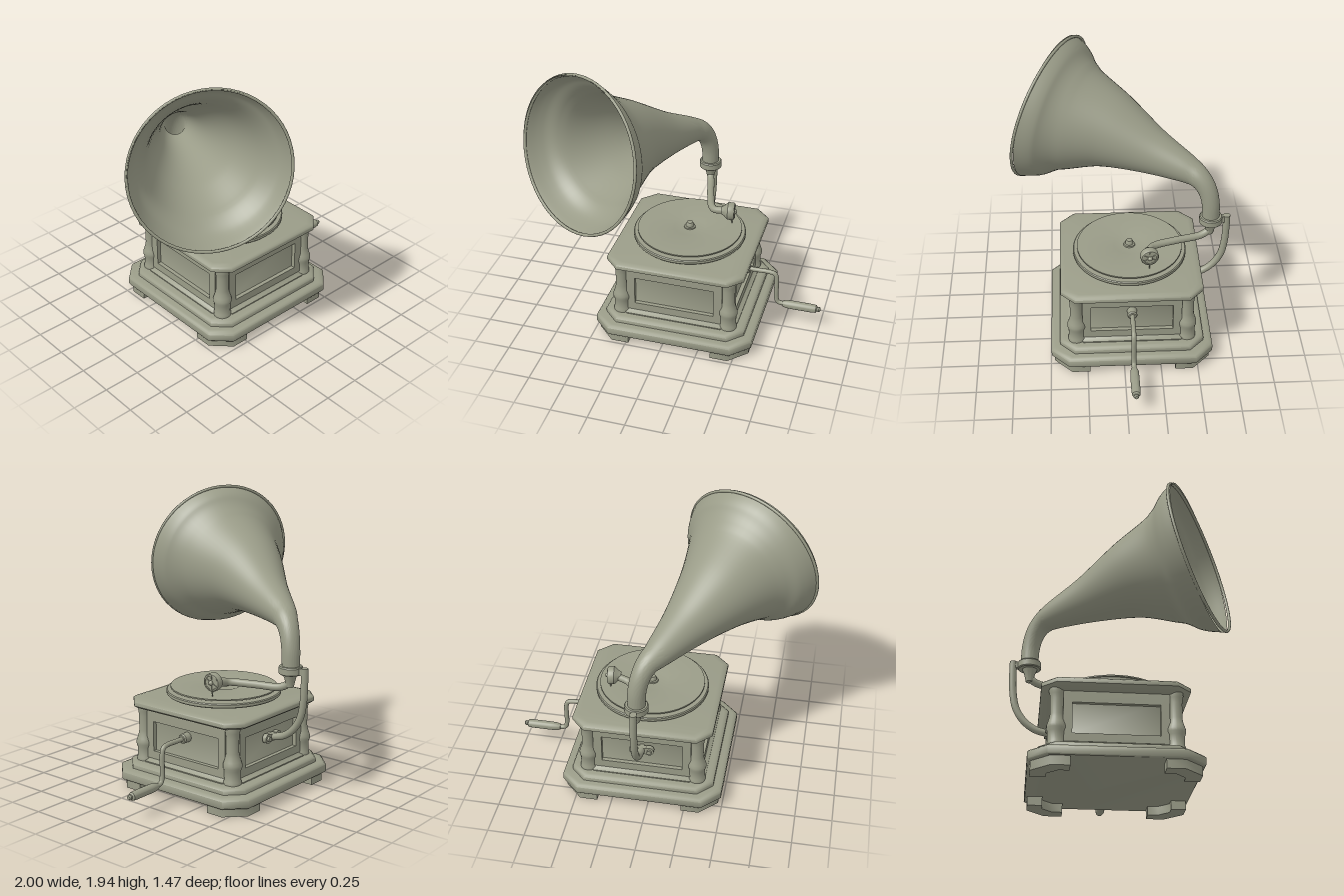
import * as THREE from 'three';
import { toCreasedNormals } from 'three/addons/utils/BufferGeometryUtils.js';

const color = 0x9a9c88;
const mat = new THREE.MeshStandardMaterial({ color });
const thin = new THREE.MeshStandardMaterial({ color, side: THREE.DoubleSide });
const V = (p) => new THREE.Vector3(p[0], p[1], p[2]);

function add(parent, name, geo, pos = [0, 0, 0], material = mat) {
  const mesh = new THREE.Mesh(geo, material);
  mesh.name = name;
  mesh.position.set(...pos);
  parent.add(mesh);
  return mesh;
}

// Skin a list of rings that run counter-clockwise about the travel direction
function loft(rings, crease, caps) {
  const n = rings[0].length, pos = [], idx = [];
  rings.forEach((r) => r.forEach((p) => pos.push(p.x, p.y, p.z)));
  for (let i = 0; i < rings.length - 1; i++) {
    for (let j = 0; j < n; j++) {
      const a = i * n + j, b = i * n + (j + 1) % n;
      idx.push(a, b, b + n, a, b + n, a + n);
    }
  }
  if (caps) {
    const top = (rings.length - 1) * n;
    for (let j = 1; j < n - 1; j++) idx.push(0, j + 1, j, top, top + j, top + j + 1);
  }
  const geo = new THREE.BufferGeometry();
  geo.setAttribute('position', new THREE.Float32BufferAttribute(pos, 3));
  geo.setIndex(idx);
  return toCreasedNormals(geo, crease);
}

// Square slab with cut corners; levels are [y, half width, corner cut]
function slab(levels) {
  return loft(levels.map(([y, h, c]) => {
    const k = h - c;
    return [[h, -k], [k, -h], [-k, -h], [-h, -k], [-h, k], [-k, h], [k, h], [h, k]].map(([x, z]) => new THREE.Vector3(x, y, z));
  }), 0.9, true);
}

const turned = (profile, n = 32) =>
  toCreasedNormals(new THREE.LatheGeometry(profile.map(([r, y]) => new THREE.Vector2(r, y)), n), 0.6);

const pipe = (points, radius, n = 48) =>
  new THREE.TubeGeometry(new THREE.CatmullRomCurve3(points.map(V)), n, radius, 16);

// Curved horn: stations are [x, y, z, radius]
function hornGeometry(stations, steps, sides) {
  const path = new THREE.CatmullRomCurve3(stations.map(V), false, 'catmullrom');
  const radii = new THREE.CatmullRomCurve3(stations.map((s) => new THREE.Vector3(s[3], 0, 0)), false, 'catmullrom');
  const side = new THREE.Vector3(1, 0, 0), rings = [];
  for (let i = 0; i <= steps; i++) {
    const t = i / steps, c = path.getPoint(t), r = radii.getPoint(t).x, dir = path.getTangent(t);
    side.addScaledVector(dir, -side.dot(dir)).normalize();
    const up = new THREE.Vector3().crossVectors(dir, side);
    rings.push(Array.from({ length: sides }, (_, j) => {
      const a = (j / sides) * Math.PI * 2;
      return c.clone().addScaledVector(side, r * Math.cos(a)).addScaledVector(up, r * Math.sin(a));
    }));
  }
  return loft(rings, 0.9, false);
}

function buildCabinet() {
  const g = new THREE.Group();
  g.name = 'cabinet';
  g.position.set(0.058, 0, -0.055);

  // Stepped base, waisted body and moulded lid
  add(g, 'basePlate', slab([[0.06, 0.545, 0.12], [0.068, 0.55, 0.12], [0.112, 0.55, 0.12], [0.124, 0.54, 0.118], [0.13, 0.52, 0.115]]));
  add(g, 'baseStep', slab([[0.125, 0.49, 0.1], [0.155, 0.49, 0.1], [0.167, 0.48, 0.1], [0.173, 0.46, 0.1]]));
  add(g, 'body', slab([[0.17, 0.43, 0.1], [0.18, 0.43, 0.1], [0.19, 0.41, 0.09], [0.21, 0.39, 0.07],
    [0.24, 0.375, 0.055], [0.5, 0.375, 0.055], [0.53, 0.385, 0.06], [0.545, 0.42, 0.08]]));
  add(g, 'lid', slab([[0.535, 0.42, 0.08], [0.55, 0.455, 0.09], [0.565, 0.475, 0.095], [0.59, 0.475, 0.095],
    [0.6, 0.465, 0.092], [0.607, 0.435, 0.085]]));

  // Panel frame, foot and column, repeated on every side and corner
  const frame = new THREE.Shape([[-0.335, 0.2], [0.335, 0.2], [0.335, 0.54], [-0.335, 0.54]].map((p) => new THREE.Vector2(...p)));
  frame.holes.push(new THREE.Path([[-0.277, 0.255], [-0.277, 0.46], [0.277, 0.46], [0.277, 0.255]].map((p) => new THREE.Vector2(...p))));
  const frameGeo = new THREE.ExtrudeGeometry(frame, { depth: 0.035, bevelEnabled: false });
  const foot = new THREE.Shape([[0.53, 0.29], [0.53, 0.41], [0.41, 0.53], [0.29, 0.53], [0.29, 0.43], [0.36, 0.43],
    [0.43, 0.36], [0.43, 0.29]].map((p) => new THREE.Vector2(...p)));
  const footGeo = toCreasedNormals(new THREE.ExtrudeGeometry(foot, { depth: 0.06, bevelEnabled: false }).rotateX(-Math.PI / 2), 0.9);
  const columnGeo = turned([[0, 0.17], [0.058, 0.17], [0.058, 0.19], [0.053, 0.2], [0.055, 0.265], [0.062, 0.285],
    [0.062, 0.305], [0.055, 0.325], [0.046, 0.355], [0.042, 0.38], [0.042, 0.48], [0.046, 0.515], [0.05, 0.53], [0.05, 0.55]], 24);
  for (let i = 0; i < 4; i++) {
    const quarter = new THREE.Group();
    quarter.name = 'cabinetSide';
    quarter.rotation.y = i * Math.PI / 2;
    add(quarter, 'panelFrame', frameGeo, [0, 0, 0.368]);
    add(quarter, 'foot', footGeo);
    add(quarter, 'cornerColumn', columnGeo, [0.375, 0, 0.375]);
    g.add(quarter);
  }

  // Turntable, record and spindle
  add(g, 'turntableHub', turned([[0.09, 0.6], [0.09, 0.63]]));
  add(g, 'platter', turned([[0, 0.625], [0.38, 0.625], [0.386, 0.631], [0.386, 0.649], [0.38, 0.655], [0, 0.655]], 64));
  add(g, 'record', turned([[0, 0.668], [0.358, 0.668], [0.358, 0.677], [0.12, 0.677], [0.11, 0.674], [0, 0.674]], 64));
  add(g, 'spindle', turned([[0.026, 0.65], [0.026, 0.672], [0.04, 0.674], [0.038, 0.682], [0.027, 0.685], [0.027, 0.7],
    [0.02, 0.714], [0, 0.716]], 20));
  return g;
}

function buildCrank() {
  const g = new THREE.Group();
  g.name = 'crank';
  g.position.z = -0.055;
  add(g, 'crankFlange', turned([[0, 0], [0.033, 0], [0.033, 0.05], [0.026, 0.06], [0, 0.06]], 20).rotateZ(-Math.PI / 2), [0.435, 0.405, 0]);
  add(g, 'crankArm', pipe([[0.45, 0.405, 0], [0.55, 0.405, 0], [0.63, 0.405, 0], [0.668, 0.395, 0], [0.682, 0.36, 0], [0.684, 0.28, 0],
    [0.686, 0.2, 0], [0.698, 0.166, 0], [0.735, 0.155, 0], [0.78, 0.155, 0]], 0.016));
  add(g, 'crankHandle', turned([[0, 0.73], [0.02, 0.735], [0.028, 0.76], [0.03, 0.8], [0.03, 0.94], [0.027, 0.97], [0.016, 0.978],
    [0.018, 0.99], [0.012, 1], [0, 1]], 20).rotateZ(-Math.PI / 2), [0, 0.155, 0]);
  return g;
}

function buildHorn() {
  const g = new THREE.Group();
  g.name = 'horn';
  add(g, 'hornBell', hornGeometry([[0.057, 0.88, -0.605, 0.058], [0.054, 1, -0.6, 0.06], [0.035, 1.1, -0.575, 0.064],
    [0, 1.17, -0.525, 0.074], [-0.06, 1.21, -0.44, 0.098], [-0.19, 1.277, -0.21, 0.165], [-0.338, 1.357, 0.06, 0.274],
    [-0.44, 1.395, 0.275, 0.38], [-0.49, 1.412, 0.375, 0.467], [-0.535, 1.43, 0.465, 0.515]], 72, 56), [0, 0, 0], thin);
  const rim = add(g, 'hornRim', new THREE.TorusGeometry(0.513, 0.01, 10, 56), [-0.535, 1.43, 0.465]);
  rim.quaternion.setFromUnitVectors(new THREE.Vector3(0, 0, 1), new THREE.Vector3(-0.46, 0.21, 0.87).normalize());
  add(g, 'hornCollar', turned([[0, 0.848], [0.072, 0.848], [0.078, 0.854], [0.078, 0.894], [0.072, 0.902], [0.05, 0.902]]), [0.058, 0, -0.605]);
  return g;
}

function buildToneArm() {
  const g = new THREE.Group();
  g.name = 'toneArm';
  add(g, 'armSocket', turned([[0, 0.755], [0.024, 0.76], [0.029, 0.785], [0.038, 0.82], [0.05, 0.85]], 24), [0.06, 0, -0.602]);
  add(g, 'armTube', pipe([[0.06, 0.84, -0.603], [0.063, 0.785, -0.593], [0.078, 0.754, -0.54], [0.122, 0.749, -0.37],
    [0.165, 0.749, -0.235], [0.195, 0.752, -0.198], [0.245, 0.763, -0.184], [0.29, 0.771, -0.178]], 0.025));

  // Sound box with ribbed face and needle
  const head = new THREE.Group();
  head.name = 'soundBox';
  head.position.set(0.31, 0.773, -0.174);
  head.rotation.y = 0.12;
  add(head, 'soundBoxShell', turned([[0.026, -0.06], [0.036, -0.04], [0.05, -0.026], [0.061, -0.012], [0.061, 0.022], [0.055, 0.032],
    [0.046, 0.034], [0.044, 0.028], [0, 0.03]], 28).rotateZ(-Math.PI / 2));
  add(head, 'soundBoxBoss', new THREE.SphereGeometry(0.016, 16, 12), [0.034, 0, 0]);
  for (let i = 0; i < 3; i++) add(head, 'soundBoxRib', new THREE.BoxGeometry(0.01, 0.1, 0.008), [0.03, 0, 0]).rotation.x = i * Math.PI / 3;
  add(head, 'needle', new THREE.CylinderGeometry(0.007, 0.003, 0.05, 8), [0.015, -0.073, 0]);
  g.add(head);
  return g;
}

function buildBracket() {
  const g = new THREE.Group();
  g.name = 'hornBracket';
  g.position.x = 0.058;
  add(g, 'bracketTube', pipe([[0, 0.395, -0.43], [0, 0.4, -0.48], [0, 0.425, -0.56], [0, 0.485, -0.635], [0, 0.57, -0.685],
    [0, 0.68, -0.707], [0, 0.8, -0.713], [0, 0.9, -0.713]], 0.024));
  add(g, 'bracketTop', new THREE.CylinderGeometry(0.024, 0.024, 0.004, 16), [0, 0.899, -0.713]);
  add(g, 'bracketLug', new THREE.BoxGeometry(0.035, 0.045, 0.06), [0, 0.875, -0.69]);
  add(g, 'wallPlate', new THREE.BoxGeometry(0.11, 0.05, 0.03), [0, 0.395, -0.46]);
  for (const s of [-1, 1]) {
    add(g, 'plateEnd', new THREE.CylinderGeometry(0.032, 0.032, 0.03, 20).rotateX(Math.PI / 2), [s * 0.052, 0.395, -0.46]);
    add(g, 'plateBolt', new THREE.CylinderGeometry(0.016, 0.016, 0.02, 12).rotateX(Math.PI / 2), [s * 0.055, 0.395, -0.48]);
  }
  return g;
}

export function createModel() {
  const model = new THREE.Group();
  model.name = 'gramophone';
  model.add(buildCabinet(), buildCrank(), buildHorn(), buildToneArm(), buildBracket());
  return model;
}
